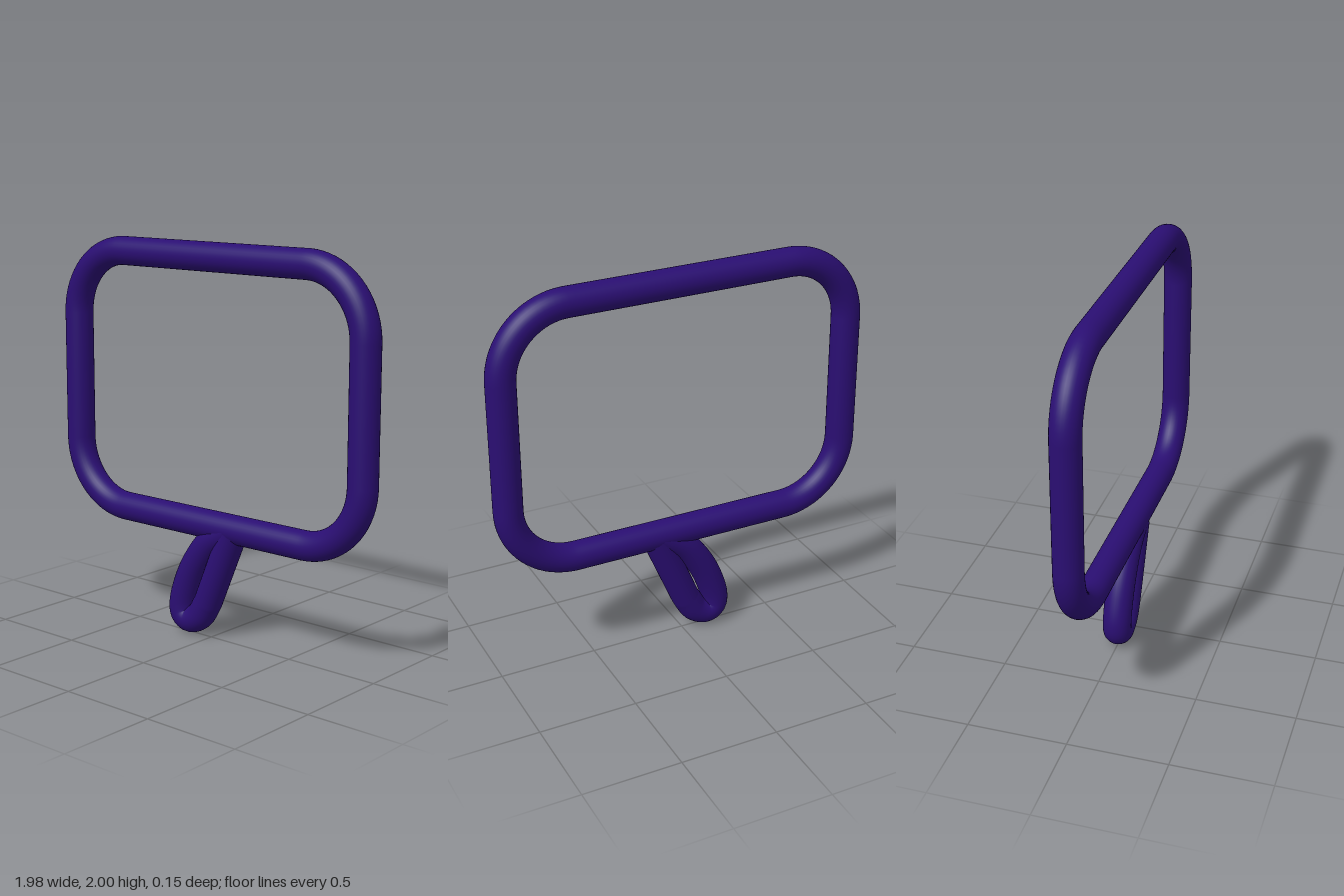
import * as THREE from 'three';

const R = 0.073; // tube radius
const material = new THREE.MeshStandardMaterial({ color: 0x2a0e72 });
const v = (x, y) => new THREE.Vector3(x, y, 0);

function tube(name, curve, segments, closed) {
  const mesh = new THREE.Mesh(new THREE.TubeGeometry(curve, segments, R, 32, closed), material);
  mesh.name = name;
  return mesh;
}

// Centre line of a rounded rectangle, sampled corner by corner
class RoundedLoop extends THREE.Curve {
  constructor(w, y0, y1, r) {
    super();
    const shape = new THREE.Shape();
    shape.moveTo(w, y0 + r);
    shape.lineTo(w, y1 - r);
    shape.absarc(w - r, y1 - r, r, 0, Math.PI / 2);
    shape.lineTo(r - w, y1);
    shape.absarc(r - w, y1 - r, r, Math.PI / 2, Math.PI);
    shape.lineTo(-w, y0 + r);
    shape.absarc(r - w, y0 + r, r, Math.PI, Math.PI * 1.5);
    shape.lineTo(w - r, y0);
    shape.absarc(w - r, y0 + r, r, Math.PI * 1.5, Math.PI * 2);
    this.shape = shape;
  }
  getPoint(t, target = new THREE.Vector3()) {
    const p = this.shape.getPoint(t);
    return target.set(p.x, p.y, 0);
  }
}

export function createModel() {
  const group = new THREE.Group();
  group.name = 'speechBubble';

  // Rounded rectangular outline
  group.add(tube('bubbleFrame', new RoundedLoop(0.917, 0.595, 1.927, 0.335), 200, true));

  // Slanted tail: curved left side, tight bottom bend, straight right side
  const tail = new THREE.CurvePath();
  tail.add(new THREE.CatmullRomCurve3([
    v(0.13, 0.585), v(0.0, 0.505), v(-0.09, 0.395), v(-0.15, 0.28), v(-0.187, 0.155),
    v(-0.18, 0.1), v(-0.14, 0.077), v(-0.075, 0.105), v(-0.022, 0.185),
  ]));
  tail.add(new THREE.LineCurve3(v(-0.022, 0.185), v(0.142, 0.575)));
  group.add(tube('bubbleTail', tail, 90, false));

  // Rounded joint closing the tail inside the frame
  const joint = new THREE.Mesh(new THREE.SphereGeometry(R * 0.98, 24, 16), material);
  joint.position.set(0.137, 0.58, 0);
  joint.name = 'tailJoint';
  group.add(joint);

  return group;
}
